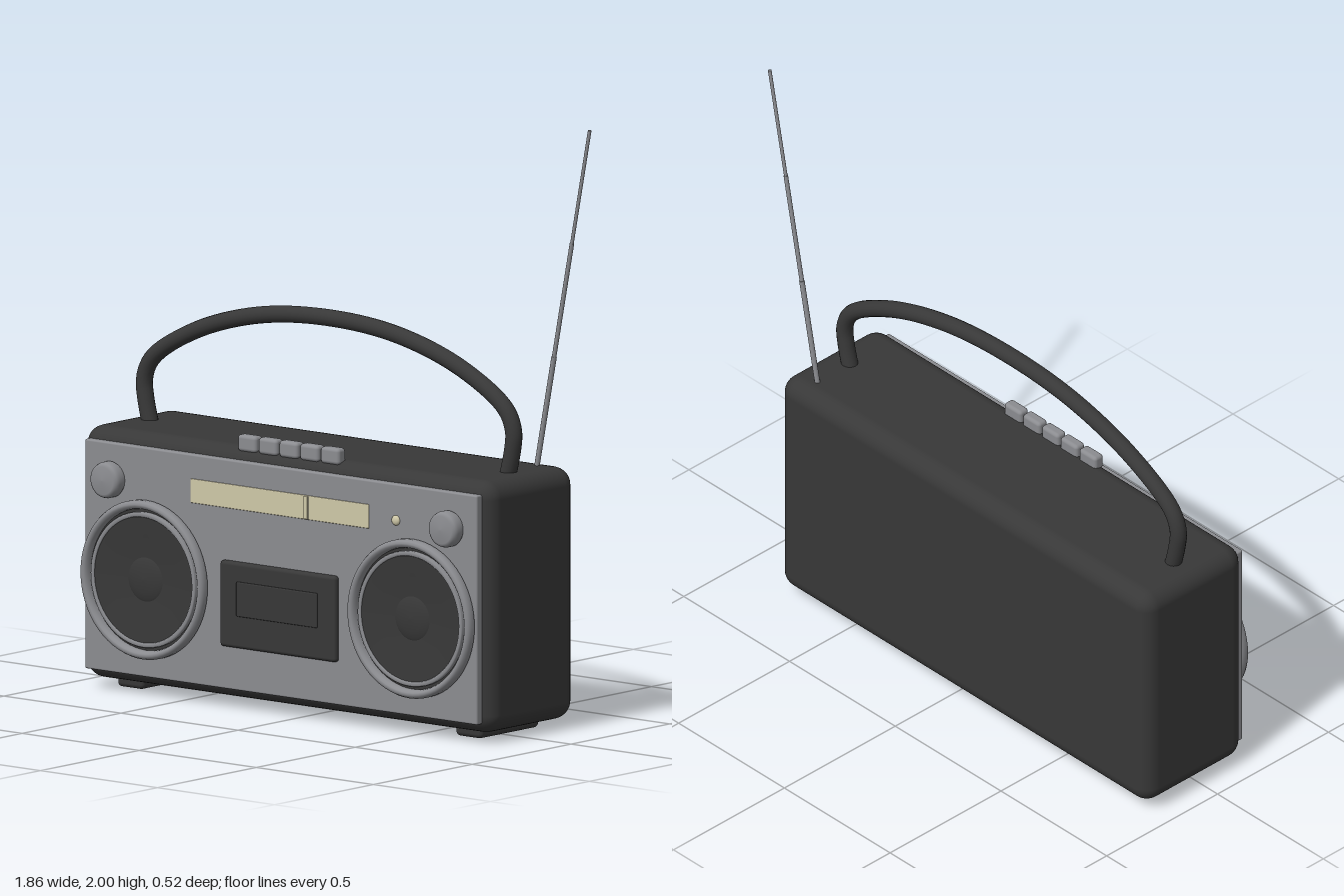
import * as THREE from 'three';
import { RoundedBoxGeometry } from 'three/addons/geometries/RoundedBoxGeometry.js';

const mat = (name, color) => {
  const m = new THREE.MeshStandardMaterial({ color });
  m.name = name;
  return m;
};

export function createModel() {
  const black = mat('black plastic', 0x383838);
  const grey = mat('silver grey', 0x8b8c90);
  const cream = mat('dial cream', 0xcfc8a8);
  const CX = -0.0625; // middle of the case

  const model = new THREE.Group();
  model.name = 'radio';
  const add = (name, geometry, material, x = 0, y = 0, z = 0, parent = model) => {
    const mesh = new THREE.Mesh(geometry, material);
    mesh.name = name;
    mesh.position.set(x, y, z);
    parent.add(mesh);
    return mesh;
  };
  const box = (name, w, h, d, r, material, x, y, z) =>
    add(name, new RoundedBoxGeometry(w, h, d, 4, r), material, x, y, z);
  // Profile of [radius, depth] turned about the z axis
  const turned = (points, segments = 64) =>
    new THREE.LatheGeometry(points.map(([r, z]) => new THREE.Vector2(r, z)), segments).rotateX(Math.PI / 2);

  // Case, front panel and feet
  box('case', 1.745, 0.835, 0.45, 0.06, black, CX, 0.4475, -0.035);
  box('frontPanel', 1.675, 0.76, 0.03, 0.006, grey, CX, 0.445, 0.195);
  for (const s of [-1, 1]) box('foot', 0.11, 0.05, 0.3, 0.015, black, CX + s * 0.7225, 0.025, -0.03);

  // Speakers: outer rim, groove, inner ring, cone and dust cap
  const rim = turned([[0.258, 0], [0.263, 0.006], [0.263, 0.022], [0.258, 0.032], [0.25, 0.036],
    [0.243, 0.034], [0.237, 0.028], [0.234, 0.016], [0.234, 0.004]]);
  const groove = new THREE.RingGeometry(0.215, 0.24, 64);
  const ring = turned([[0.224, 0.006], [0.224, 0.02], [0.221, 0.024], [0.211, 0.024], [0.208, 0.02], [0.208, 0.006]]);
  const cone = turned([[0.21, 0.02], [0.195, 0.019], [0.14, 0.014], [0.07, 0.008], [0.0001, 0.006]]);
  const cap = turned([[0.075, 0.007], [0.066, 0.012], [0.045, 0.017], [0.02, 0.02], [0.0001, 0.021]]);
  for (const s of [-1, 1]) {
    const speaker = new THREE.Group();
    speaker.name = s < 0 ? 'rightSpeaker' : 'leftSpeaker';
    speaker.position.set(CX + s * 0.57, 0.39, 0.21);
    model.add(speaker);
    add('rim', rim, grey, 0, 0, 0, speaker);
    add('groove', groove, black, 0, 0, 0.008, speaker);
    add('innerRing', ring, grey, 0, 0, 0, speaker);
    add('cone', cone, black, 0, 0, 0, speaker);
    add('dustCap', cap, black, 0, 0, 0, speaker);
  }

  // Domed knobs
  const knob = turned([[0.056, 0], [0.06, 0.008], [0.06, 0.03], [0.056, 0.042], [0.046, 0.049], [0.0001, 0.052]], 40);
  for (const s of [-1, 1]) add('knob', knob, grey, CX + s * 0.7225, 0.705, 0.208);

  // Cassette door with raised window
  box('cassetteDoor', 0.495, 0.285, 0.03, 0.012, black, CX, 0.35, 0.213);
  box('cassetteWindow', 0.345, 0.115, 0.012, 0.004, black, CX, 0.372, 0.227);

  // Tuning dial, needle and indicator lamp
  box('dial', 0.76, 0.08, 0.012, 0.003, cream, -0.065, 0.705, 0.208);
  box('needle', 0.016, 0.076, 0.008, 0.002, cream, 0.05, 0.705, 0.215);
  for (const s of [-1, 1])
    add('needleEdge', new THREE.BoxGeometry(0.003, 0.076, 0.005), black, 0.05 + s * 0.009, 0.705, 0.213);
  add('lamp', new THREE.SphereGeometry(0.017, 20, 12).scale(1, 1, 0.6), cream, 0.43, 0.705, 0.21);

  // Row of push buttons
  for (let i = 0; i < 5; i++)
    box('button', 0.08, 0.055, 0.04, 0.012, grey, CX + (i - 2) * 0.0885, 0.8775, 0.155);

  // Carrying handle, mirrored about the middle
  const half = [[0.76, 0.84], [0.782, 0.93], [0.788, 1.0], [0.755, 1.07], [0.57, 1.182], [0.3, 1.263]];
  const path = [...half.map(([x, y]) => [-x, y]), [0, 1.288], ...half.slice().reverse()]
    .map(([x, y]) => new THREE.Vector3(CX + x, y, -0.035));
  add('handle', new THREE.TubeGeometry(new THREE.CatmullRomCurve3(path), 96, 0.028, 16), black);

  // Telescopic aerial, tapering to the tip
  const base = new THREE.Vector3(0.696, 0.85, -0.185);
  const tip = new THREE.Vector3(0.924, 2, -0.185);
  const dir = tip.clone().sub(base);
  const length = dir.length();
  dir.normalize();
  const aerial = new THREE.Group();
  aerial.name = 'aerial';
  aerial.position.copy(base);
  aerial.quaternion.setFromUnitVectors(new THREE.Vector3(0, 1, 0), dir);
  model.add(aerial);
  [0.009, 0.0075, 0.006].forEach((r, i) =>
    add('aerialSection', new THREE.CylinderGeometry(r, r, length / 3, 12), grey, 0, length * (i + 0.5) / 3, 0, aerial));

  return model;
}
